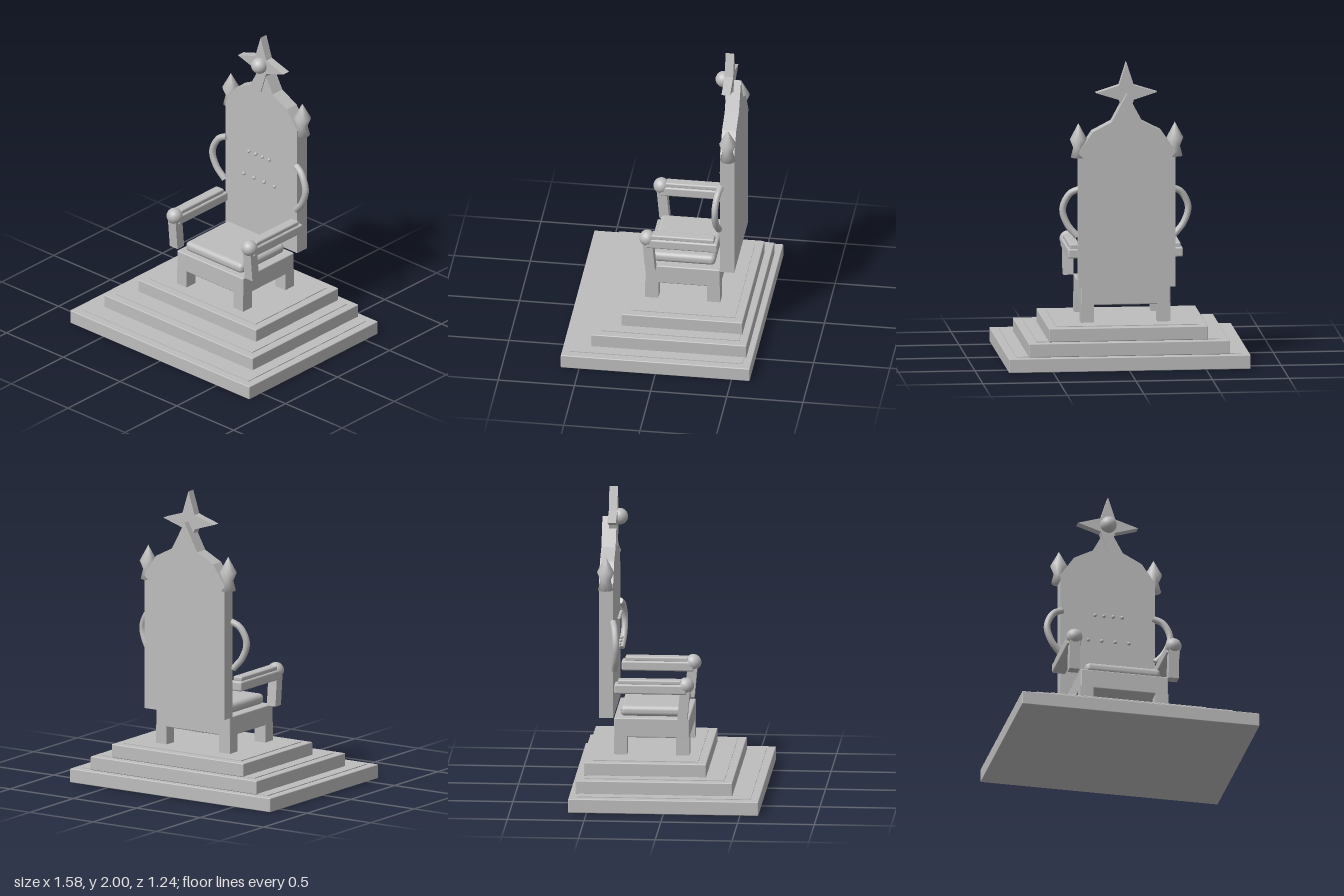
import * as THREE from 'three';
import { RoundedBoxGeometry } from 'three/addons/geometries/RoundedBoxGeometry.js';

const stone = new THREE.MeshStandardMaterial({ color: 0xbdbdbd });
stone.name = 'grey stone';
const V = (x, y, z) => new THREE.Vector3(x, y, z);

export function createModel() {
  const model = new THREE.Group();
  model.name = 'throne';

  const add = (name, geometry, x = 0, y = 0, z = 0) => {
    const mesh = new THREE.Mesh(geometry, stone);
    mesh.name = name;
    mesh.position.set(x, y, z);
    model.add(mesh);
    return mesh;
  };
  // Box given by its limits on each axis, optionally with rounded edges
  const block = (name, x0, x1, y0, y1, z0, z1, r = 0) => {
    const s = [x1 - x0, y1 - y0, z1 - z0];
    const g = r ? new RoundedBoxGeometry(...s, 3, r) : new THREE.BoxGeometry(...s);
    return add(name, g, (x0 + x1) / 2, (y0 + y1) / 2, (z0 + z1) / 2);
  };
  // Flat outline extruded between two depths
  const slab = (name, points, z0, z1) => {
    const shape = new THREE.Shape(points.map(([x, y]) => new THREE.Vector2(x, y)));
    return add(name, new THREE.ExtrudeGeometry(shape, { depth: z1 - z0, bevelEnabled: false }), 0, 0, z0);
  };

  // Stepped platform, each step with a slightly raised top panel
  const steps = [
    [0.79, 0, 0.093, -0.62, 0.62],
    [0.655, 0.093, 0.184, -0.58, 0.44],
    [0.52, 0.184, 0.274, -0.535, 0.26],
  ];
  for (const [w, y0, y1, z0, z1] of steps) {
    block('platformStep', -w, w, y0, y1, z0, z1, 0.006);
    block('stepPanel', -w + 0.055, w - 0.055, y1 - 0.002, y1 + 0.005, z0 + 0.055, z1 - 0.055);
  }

  // Seat, legs and cushion
  block('seat', -0.292, 0.292, 0.393, 0.522, -0.357, 0.135, 0.008);
  for (const x of [-0.249, 0.249]) {
    for (const z of [-0.314, 0.092]) {
      block('leg', x - 0.043, x + 0.043, 0.274, 0.4, z - 0.043, z + 0.043);
    }
  }
  block('cushion', -0.25, 0.25, 0.522, 0.592, -0.318, 0.107, 0.03);

  // Backrest with a stepped, pointed top
  const half = [[0.315, 0.525], [0.315, 1.42], [0.225, 1.55], [0.1, 1.615]];
  const mirrored = half.map(([x, y]) => [-x, y]).reverse();
  slab('backrest', [...half, [0, 1.8], ...mirrored], -0.453, -0.36);

  // Four-pointed star with a round boss
  const star = [];
  for (let i = 0; i < 8; i++) {
    const a = (i * Math.PI) / 4;
    const r = i % 2 ? 0.068 : 0.2;
    star.push([r * Math.cos(a), 1.8 + r * Math.sin(a)]);
  }
  slab('star', star, -0.408, -0.352);
  add('starBoss', new THREE.SphereGeometry(0.054, 24, 16), 0, 1.8, -0.34);

  // Two rows of upholstery studs
  const stud = new THREE.SphereGeometry(0.012, 12, 8);
  for (const [y, gap] of [[1.14, 0.06], [0.96, 0.09]]) {
    for (let i = 0; i < 4; i++) add('stud', stud, (i - 1.5) * gap, y, -0.337);
  }

  // Parts repeated on both sides
  const finialProfile = [[0, 1.38], [0.05, 1.38], [0.034, 1.445], [0.056, 1.5], [0, 1.605]]
    .map(([r, y]) => new THREE.Vector2(r, y));
  for (const s of [-1, 1]) {
    const x = s * 0.33;
    block('armrest', x - 0.046, x + 0.046, 0.7, 0.765, -0.35, 0.12, 0.012);
    block('armPad', x - 0.034, x + 0.034, 0.76, 0.793, -0.327, 0.085, 0.01);
    add('armKnob', new THREE.SphereGeometry(0.053, 20, 14), x, 0.755, 0.115);

    // Post leaning slightly forward
    const post = new THREE.BoxGeometry(0.068, 0.22, 0.064);
    const p = post.attributes.position;
    for (let i = 0; i < p.count; i++) p.setZ(i, p.getZ(i) + p.getY(i) * 0.09);
    post.computeVertexNormals();
    add('armPost', post, x, 0.635, 0.102);

    add('finial', new THREE.LatheGeometry(finialProfile, 12), s * 0.315, 0, -0.41);

    // Curved side handle with closed ends
    const path = new THREE.CatmullRomCurve3([
      V(s * 0.305, 1.163, -0.362), V(s * 0.365, 1.13, -0.348), V(s * 0.41, 1.03, -0.337),
      V(s * 0.38, 0.928, -0.34), V(s * 0.315, 0.848, -0.352),
    ]);
    add('sideHandle', new THREE.TubeGeometry(path, 28, 0.022, 12), 0, 0, 0);
    for (const t of [0, 1]) {
      const cap = add('handleCap', new THREE.CircleGeometry(0.022, 12));
      cap.position.copy(path.getPoint(t));
      cap.lookAt(cap.position.clone().addScaledVector(path.getTangent(t), t ? 1 : -1));
    }
  }
  return model;
}
